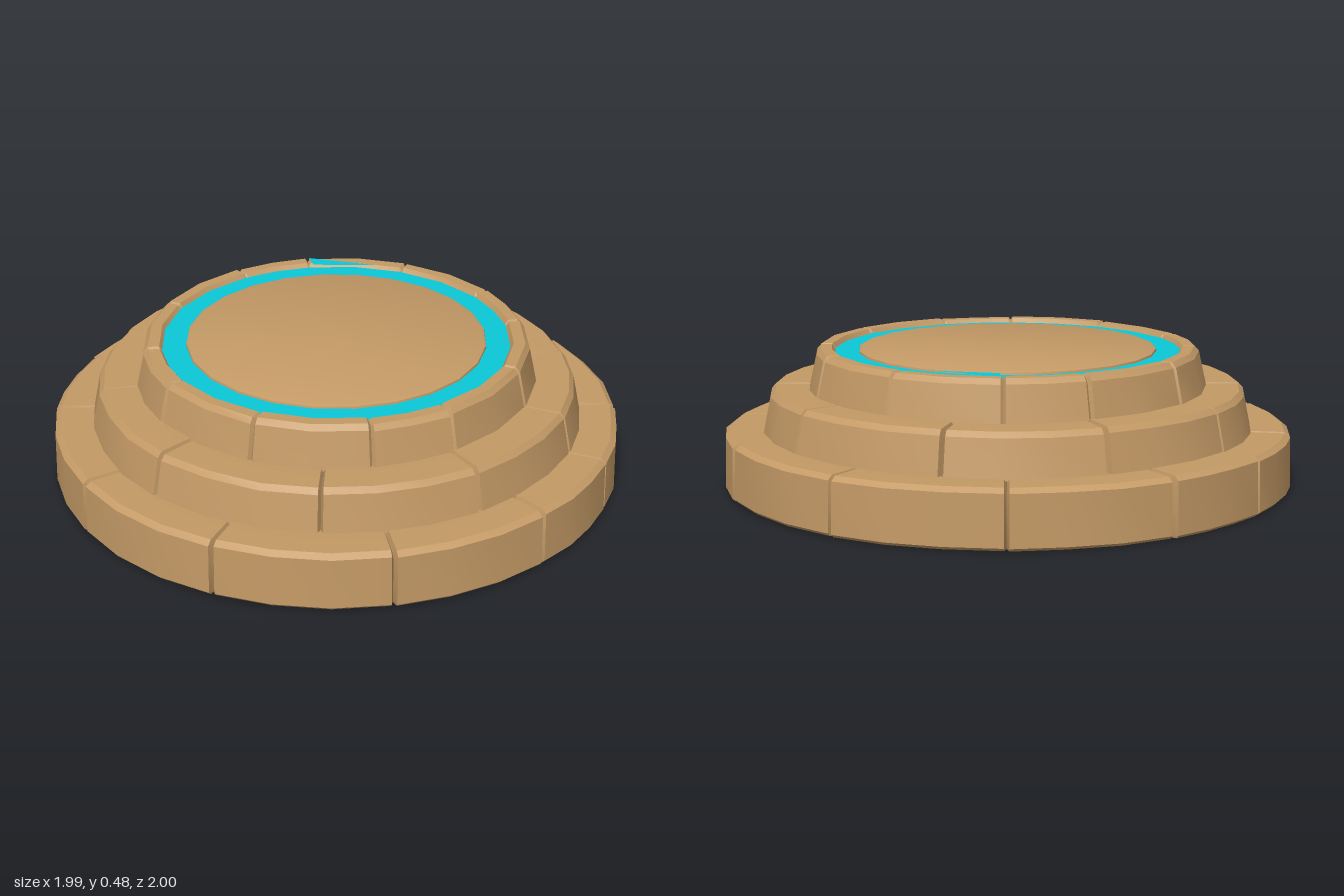
import * as THREE from 'three';
import { toCreasedNormals } from 'three/addons/utils/BufferGeometryUtils.js';

const rad = THREE.MathUtils.degToRad;

function seeded(seed) {
  return () => {
    seed = (seed * 16807) % 2147483647;
    return seed / 2147483647;
  };
}

// Sweeps a profile [radius, y] (inner top to outer bottom) around y,
// cutting a V-shaped joint at each seam angle between the stone blocks.
function stoneRing(profile, seams, perBlock, depth, seed) {
  const random = seeded(seed);
  const top = Math.max(...profile.map((p) => p[1]));
  const halfGap = 0.009 / profile[profile.length - 1][0];
  const columns = [];
  seams.forEach((seam, i) => {
    const start = rad(seam);
    const end = rad(i + 1 < seams.length ? seams[i + 1] : seams[0] + 360);
    const drop = random() * 0.005;
    columns.push({ a: start, inset: depth, drop: depth * 0.8 });
    for (let k = 0; k <= perBlock; k++) {
      const a = THREE.MathUtils.lerp(start + halfGap, end - halfGap, k / perBlock);
      columns.push({ a, inset: random() * 0.007, drop });
    }
  });
  const positions = [];
  const index = [];
  const n = profile.length;
  columns.forEach(({ a, inset, drop }, i) => {
    profile.forEach(([r, y], j) => {
      const radius = j > 1 ? r - inset : r;
      const height = y > top - 0.022 ? y - drop : y;
      positions.push(radius * Math.cos(a), height, radius * Math.sin(a));
      if (j === n - 1) return;
      const p = i * n + j;
      const q = ((i + 1) % columns.length) * n + j;
      index.push(p, q, p + 1, q, q + 1, p + 1);
    });
  });
  const geometry = new THREE.BufferGeometry();
  geometry.setAttribute('position', new THREE.Float32BufferAttribute(positions, 3));
  geometry.setIndex(index);
  return toCreasedNormals(geometry, 0.4);
}

// Repeats the seams of a quarter turn by mirroring on both axes
function mirrorSeams(quarter) {
  const all = quarter.flatMap((a) => [a, 180 - a, 180 + a, (360 - a) % 360]);
  return [...new Set(all)].sort((a, b) => a - b);
}

export function createModel() {
  const model = new THREE.Group();
  model.name = 'steppedStonePlatform';
  const stone = new THREE.MeshStandardMaterial({ color: 0xc49a66 });
  stone.name = 'sandstone';
  const glow = new THREE.MeshStandardMaterial({ color: 0x0cc8d8 });
  glow.name = 'cyan inlay';

  const add = (name, geometry, material) => {
    const mesh = new THREE.Mesh(geometry, material);
    mesh.name = name;
    model.add(mesh);
    return mesh;
  };

  // Three stepped rings of stone blocks
  add('bottomStep', stoneRing(
    [[0.78, 0.195], [0.86, 0.2], [0.975, 0.2], [0.995, 0.185], [1, 0.01], [0.99, 0]],
    mirrorSeams([0, 24, 56, 90]), 3, 0.028, 11), stone);
  add('middleStep', stoneRing(
    [[0.62, 0.338], [0.72, 0.343], [0.82, 0.343], [0.837, 0.325], [0.865, 0.19]],
    mirrorSeams([0, 34, 70]), 3, 0.026, 23), stone);
  add('topStep', stoneRing(
    [[0.598, 0.45], [0.617, 0.48], [0.66, 0.48], [0.676, 0.462], [0.705, 0.33]],
    mirrorSeams([0, 33, 57, 90]), 2, 0.014, 37), stone);

  // Underside
  const underside = add('underside', new THREE.CircleGeometry(0.992, 48), stone);
  underside.rotation.x = Math.PI / 2;

  // Recessed coloured ring
  const inlay = add('inlayRing', new THREE.RingGeometry(0.5, 0.612, 24), glow);
  inlay.rotation.x = -Math.PI / 2;
  inlay.position.y = 0.463;

  // Chip in the rim where the inlay shows through
  const chipShape = new THREE.Shape([
    new THREE.Vector2(-0.35, 0.55),
    new THREE.Vector2(-0.31, 0.5),
    new THREE.Vector2(-0.1, 0.59),
  ]);
  const chip = add('inlayChip', new THREE.ShapeGeometry(chipShape), glow);
  chip.rotation.x = -Math.PI / 2;
  chip.position.y = 0.482;

  // Central slab with a small bevel
  const slab = new THREE.LatheGeometry([
    new THREE.Vector2(0.527, 0.45),
    new THREE.Vector2(0.522, 0.47),
    new THREE.Vector2(0.51, 0.475),
    new THREE.Vector2(0, 0.475),
  ], 24);
  add('centreSlab', toCreasedNormals(slab, 0.4), stone);

  return model;
}
